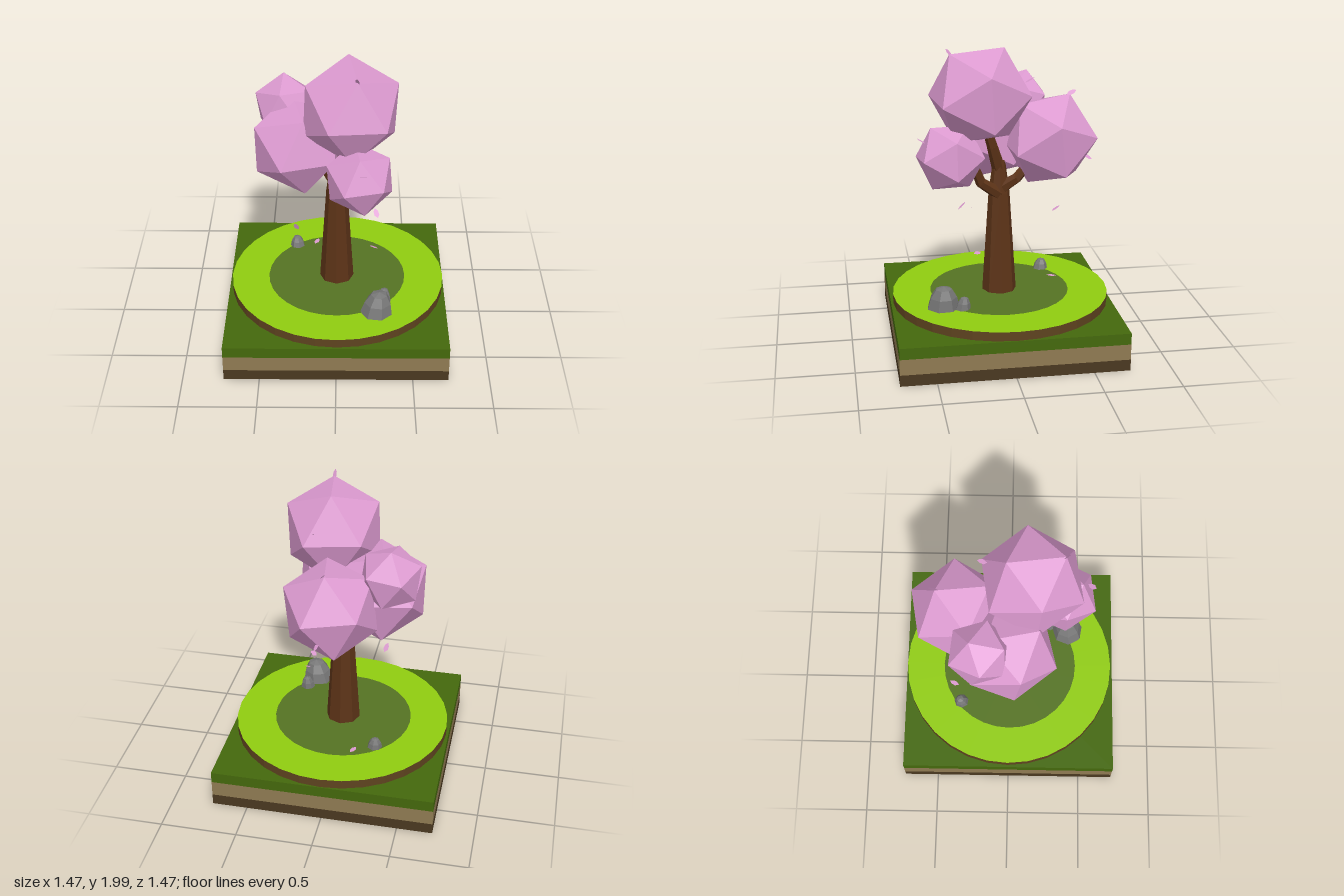
import * as THREE from 'three';

const mat = (color, extra = {}) => new THREE.MeshStandardMaterial({ color, flatShading: true, ...extra });
const V = (a) => new THREE.Vector3(...a);

// Rotation frame whose X axis is a and whose XY plane holds b
function frame(a, b) {
  const x = V(a).normalize();
  const z = x.clone().cross(V(b)).normalize();
  return new THREE.Matrix4().makeBasis(x, z.clone().cross(x), z);
}

export function createModel() {
  const group = new THREE.Group();
  const add = (name, geo, material, x = 0, y = 0, z = 0) => {
    const mesh = new THREE.Mesh(geo, material);
    mesh.name = name;
    mesh.position.set(x, y, z);
    group.add(mesh);
    return mesh;
  };

  const pink = mat(0xdc9ad0);
  const petalPink = mat(0xdc9ad0, { side: THREE.DoubleSide });
  const bark = mat(0x5c3317);
  const darkGrass = mat(0x44680c);
  const brightGrass = mat(0x90cc10);
  const shade = mat(0x557323);
  const stone = mat(0x777777);

  // Layered square base with a green underside
  const layers = [
    ['lowerSoil', 0, 0.075, 0x4a3820],
    ['upperSoil', 0.075, 0.18, 0x8f7a52],
    ['grassLayer', 0.18, 0.255, 0x44680c],
  ];
  for (const [name, y0, y1, color] of layers) {
    const side = mat(color);
    const materials = [side, side, side, y0 === 0 ? darkGrass : side, side, side];
    add(name, new THREE.BoxGeometry(1.465, y1 - y0, 1.465), y0 === 0 ? materials : side, 0, (y0 + y1) / 2, 0);
  }

  // Round lawn with a soil rim and a shaded patch below the tree
  add('lawn', new THREE.CylinderGeometry(0.722, 0.722, 0.06, 32),
    [mat(0x5e431f), brightGrass, brightGrass], 0.005, 0.285, -0.005);
  add('shadePatch', new THREE.CircleGeometry(0.465, 32).rotateX(-Math.PI / 2), shade, 0, 0.318, 0);

  // Trunk
  add('trunk', new THREE.CylinderGeometry(0.07, 0.115, 0.69, 8), bark, 0, 0.655, 0);
  add('trunkTop', new THREE.CylinderGeometry(0.04, 0.07, 0.22, 8), bark, 0, 1.11, 0);

  // Branches, each a chain of tapered segments
  const branches = [
    [[0.03, 1.0, 0.01], [0.07, 1.09, 0.13], [0.09, 1.22, 0.18], [0.12, 1.28, 0.25]],
    [[0.02, 1.04, -0.02], [0.04, 1.1, -0.11], [0.03, 1.25, -0.24]],
    [[0, 1.05, 0], [-0.08, 1.18, 0], [-0.2, 1.3, 0]],
    [[0, 1.15, 0], [0.04, 1.32, 0.05], [0.07, 1.55, 0.12]],
  ];
  for (const path of branches) {
    for (let i = 0; i < path.length - 1; i++) {
      const a = V(path[i]), b = V(path[i + 1]);
      const dir = b.clone().sub(a);
      const r = 0.045 - i * 0.01;
      const mesh = add('branch', new THREE.CylinderGeometry(r - 0.01, r, dir.length() + 0.01, 6), bark);
      mesh.position.copy(a.add(b).multiplyScalar(0.5));
      mesh.quaternion.setFromUnitVectors(new THREE.Vector3(0, 1, 0), dir.normalize());
    }
  }

  // Foliage: icosahedra, each turned by the directions of two neighbouring corners
  const t = (1 + Math.sqrt(5)) / 2;
  const source = frame([-1, t, 0], [1, t, 0]).transpose();
  const foliage = [
    [[0.087, 1.672, 0.137], 0.343, [0.04, 0.27, 0.19], [0.305, 0.16, -0.045]],
    [[-0.25, 1.345, -0.01], 0.328, [-0.1, -0.036, 0.31], [0.04, -0.31, 0.16]],
    [[0.145, 1.29, 0.337], 0.233, [-0.095, -0.01, 0.21], [-0.01, 0.183, 0.136]],
    [[0.015, 1.354, -0.326], 0.325, [0.12, 0.019, -0.291], [0.295, 0.14, -0.025]],
    [[-0.335, 1.538, -0.18], 0.212, [-0.01, 0.2, -0.06], [-0.18, 0.1, 0.005]],
  ];
  for (const [centre, radius, a, b] of foliage) {
    const mesh = add('foliage', new THREE.IcosahedronGeometry(radius, 0), pink, ...centre);
    mesh.quaternion.setFromRotationMatrix(frame(a, b).multiply(source));
  }

  // Petals: pointed leaf shapes given by position, long direction and normal
  const leaf = new THREE.Shape([[-0.035, 0], [-0.012, 0.016], [0.015, 0.014], [0.035, 0],
    [0.015, -0.014], [-0.012, -0.016]].map((p) => new THREE.Vector2(...p)));
  const leafGeo = new THREE.ShapeGeometry(leaf);
  const petals = [
    [[0.255, 1.0, 0.28], [-0.3, 0.6, -0.7], [0, 0.7, 0.6]],
    [[0.16, 0.92, -0.35], [-0.4, 0.4, -0.8], [0, 0.85, 0.45]],
    [[-0.265, 0.805, 0.145], [-0.3, 0.85, 0.35], [0, 0.4, -0.9]],
    [[0.245, 0.67, 0.18], [0.7, 0.1, 0.7], [0.2, 0.9, -0.3]],
    [[0.165, 1.41, 0.52], [0.5, -0.3, -0.6], [0, 0.85, -0.4]],
    [[0.125, 1.96, 0.335], [0, 0.75, 0.6], [0.5, 0.5, -0.6]],
    [[0.165, 1.78, -0.17], [0, 0.5, -0.9], [0, 0.9, 0.5]],
    [[0.03, 1.66, -0.47], [0, 0.4, -0.9], [0.7, 0.6, 0.3]],
    [[0.05, 1.23, -0.58], [0.2, -0.5, -0.8], [0.5, 0.7, -0.3]],
    [[-0.145, 0.326, -0.39], [0.4, 0.02, -0.9], [0, 1, 0]],
  ];
  for (const [p, d, n] of petals) {
    const side = V(n).cross(V(d));
    const mesh = add('petal', leafGeo, petalPink, ...p);
    mesh.quaternion.setFromRotationMatrix(frame(d, side.toArray()));
  }

  // Rocks: low-sided domes with a slightly leaning top
  const rocks = [
    [[0.265, 0.315, 0.41], 0.108, 0.15, 0.3],
    [[0.315, 0.315, 0.285], 0.05, 0.085, 1.2],
    [[-0.28, 0.334, -0.335], 0.05, 0.07, 2.1],
  ];
  for (const [p, r, h, turn] of rocks) {
    const profile = [[0, 0], [r, 0], [r * 0.82, h * 0.5], [r * 0.5, h * 0.88], [0, h]]
      .map(([x, y]) => new THREE.Vector2(x, y));
    const geo = new THREE.LatheGeometry(profile, 7);
    const pos = geo.attributes.position;
    for (let i = 0; i < pos.count; i++) pos.setX(i, pos.getX(i) + pos.getY(i) * 0.12);
    add('rock', geo, stone, ...p).rotation.y = turn;
  }

  return group;
}
